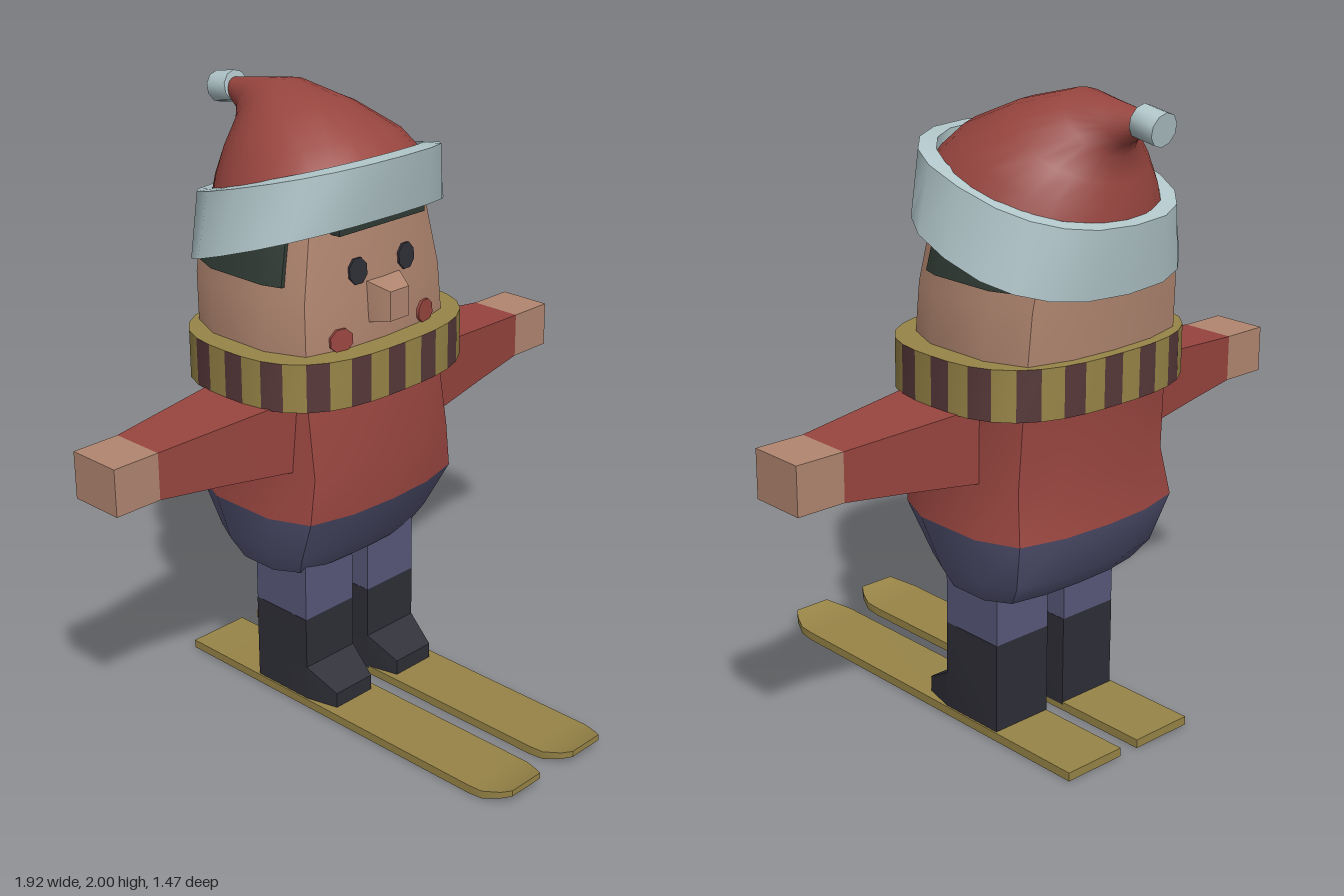
import * as THREE from 'three';
import { toCreasedNormals } from 'three/addons/utils/BufferGeometryUtils.js';

const mat = (name, color) => {
  const m = new THREE.MeshStandardMaterial({ color });
  m.name = name;
  return m;
};
const V = (x, y, z) => new THREE.Vector3(x, y, z);

// Skin rings of points together; matOf(row, segment) picks the material, caps are row -1
function loft(rings, { caps = [true, true], matOf = () => 0, crease = 0.5 } = {}) {
  const buckets = [[], []];
  const n = rings[0].length;
  const add = (m, ...pts) => pts.forEach(p => buckets[m].push(p.x, p.y, p.z));
  for (let i = 0; i < rings.length - 1; i++) {
    for (let j = 0; j < n; j++) {
      const k = (j + 1) % n, a = rings[i][j], b = rings[i][k], c = rings[i + 1][k], d = rings[i + 1][j];
      add(matOf(i, j), a, b, c, a, c, d);
    }
  }
  [rings[0], rings[rings.length - 1]].forEach((r, e) => {
    if (!caps[e]) return;
    const mid = r.reduce((s, p) => s.add(p), V(0, 0, 0)).divideScalar(n);
    for (let j = 0; j < n; j++) {
      const p = r[j], q = r[(j + 1) % n];
      if (e) add(matOf(-1, j), mid, p, q);
      else add(matOf(-1, j), mid, q, p);
    }
  });
  const g = new THREE.BufferGeometry();
  g.setAttribute('position', new THREE.Float32BufferAttribute([...buckets[0], ...buckets[1]], 3));
  g.addGroup(0, buckets[0].length / 3, 0);
  if (buckets[1].length) g.addGroup(buckets[0].length / 3, buckets[1].length / 3, 1);
  return toCreasedNormals(g, crease);
}

// Unit outlines as [x, z], running front, left, back, right
const half = [[0.45, 0.97], [0.85, 0.84], [1, 0.4], [1, -0.4], [0.85, -0.84], [0.45, -0.97]];
const mirrorX = pts => [...pts].reverse().map(([x, z]) => [-x, z]);
const bodyOutline = [[0, 1], ...half, [0, -1], ...mirrorX(half)];
const hairHalf = [[0.95, 0.62], [1.01, 0.4], [1.01, -0.4], [0.88, -0.79]];
const hairOutline = [...hairHalf, ...mirrorX(hairHalf)];
const superellipse = (count, power) => Array.from({ length: count }, (_, i) => {
  const t = i / count * Math.PI * 2, s = Math.sin(t), c = Math.cos(t);
  return [Math.sign(s) * Math.abs(s) ** (2 / power), Math.sign(c) * Math.abs(c) ** (2 / power)];
});

// Ring given its half width and its front and back points as [z, y]
const ring = (outline, hw, [zf, yf], [zb, yb]) => outline.map(([x, s]) =>
  V(x * hw, (yf + yb) / 2 + s * (yf - yb) / 2, (zf + zb) / 2 + s * (zf - zb) / 2));
// Level rings from rows [y, half width, z front, z back]
const level = (outline, rows) => rows.map(([y, hw, zf, zb]) => ring(outline, hw, [zf, y], [zb, y]));
// Rectangular sections along z from rows [z, half width, bottom, top]
const alongZ = (cx, rows) => loft(rows.map(([z, hw, y0, y1]) =>
  [V(cx + hw, y0, z), V(cx + hw, y1, z), V(cx - hw, y1, z), V(cx - hw, y0, z)]));
// Rectangular sections along x from rows [x, bottom, top, z front, z back]
const alongX = (side, rows) => loft(rows.map(([x, y0, y1, zf, zb]) => {
  const r = [V(x * side, y1, zf), V(x * side, y0, zf), V(x * side, y0, zb), V(x * side, y1, zb)];
  return side < 0 ? r.reverse() : r;
}));

export function createModel() {
  const model = new THREE.Group();
  model.name = 'skier';
  const red = mat('red wool', 0x98453f), skin = mat('skin', 0xb18670), white = mat('pale trim', 0xb2c7cb);
  const navy = mat('trouser blue', 0x58587a), dark = mat('dark boot', 0x2e2e37), olive = mat('ski olive', 0x978447);
  const brown = mat('scarf brown', 0x573839), hair = mat('hair green', 0x2f3a33);
  const part = (name, geometry, material) => {
    const m = new THREE.Mesh(geometry, material);
    m.name = name;
    model.add(m);
    return m;
  };

  // Body
  part('trousers', loft(level(bodyOutline, [
    [0.49, 0.3, -0.1, -0.44], [0.56, 0.335, -0.05, -0.5], [0.72, 0.375, 0.04, -0.56],
  ]), { caps: [true, false], matOf: i => (i < 0 ? 1 : 0) }), [navy, red]);
  part('sweater', loft(level(bodyOutline, [
    [0.72, 0.375, 0.04, -0.56], [0.87, 0.353, 0.04, -0.53], [1.13, 0.345, 0, -0.54],
  ])), red);

  // Head, hair and face
  part('head', loft(level(bodyOutline, [
    [1.1, 0.35, 0, -0.56], [1.26, 0.353, 0.01, -0.565], [1.42, 0.345, 0, -0.575],
    [1.64, 0.295, -0.02, -0.58], [1.74, 0.2, -0.1, -0.5],
  ])), skin);
  part('hair', loft(level(hairOutline, [
    [1.47, 0.34, -0.005, -0.575], [1.64, 0.3, -0.02, -0.575], [1.7, 0.25, -0.05, -0.55],
  ])), hair);
  part('fringe', new THREE.BoxGeometry(0.37, 0.1, 0.06).translate(0, 1.67, -0.035), hair);
  part('nose', alongZ(0, [[-0.03, 0.07, 1.325, 1.455], [0, 0.07, 1.325, 1.455], [0.065, 0.04, 1.335, 1.43]]), skin);
  const octagon = (w, h) => new THREE.CylinderGeometry(1, 1, 0.009, 8)
    .rotateY(Math.PI / 8).rotateX(Math.PI / 2).scale(w * 1.08, h * 1.08, 1);
  for (const side of [1, -1]) {
    const eye = part('eye', octagon(0.035, 0.04), dark);
    eye.position.set(side * 0.105, 1.495, -0.01);
    eye.rotation.set(-0.08, side * 0.055, 0);
    const cheek = part('cheek', octagon(0.04, 0.036), red);
    cheek.position.set(side * 0.185, 1.296, -0.002);
    cheek.rotation.set(-0.06, side * 0.2, 0);
  }

  // Striped scarf with evenly spaced stripes
  const stripes = 36;
  const path = new THREE.CatmullRomCurve3(superellipse(48, 2.8).map(([x, z]) => V(x * 0.43, 0, z * 0.345)), true);
  const outline = path.getSpacedPoints(stripes).slice(0, stripes).map(p => [p.x / 0.43, p.z / 0.345]);
  const [low, high, inHigh, inLow] = level(outline, [
    [1.11, 0.43, 0.09, -0.6], [1.265, 0.43, 0.09, -0.6], [1.265, 0.32, -0.02, -0.53], [1.11, 0.32, -0.02, -0.53],
  ]);
  part('scarf', loft([low, high, inHigh, inLow, low], {
    caps: [false, false], matOf: (i, j) => (i === 0 && j % 2 ? 1 : 0),
  }), [olive, brown]);

  // Hat: tilted fur brim, bent crown and bobble
  const brimOutline = superellipse(20, 2.5);
  const brimLow = ring(brimOutline, 0.4, [0.05, 1.66], [-0.615, 1.44]);
  part('hatBrim', loft([
    brimLow,
    ring(brimOutline, 0.345, [0.08, 1.845], [-0.64, 1.645]),
    ring(brimOutline, 0.3, [0.025, 1.845], [-0.595, 1.655]),
    ring(brimOutline, 0.355, [0.01, 1.66], [-0.59, 1.45]),
    brimLow,
  ], { caps: [false, false] }), white);
  const round = superellipse(24, 2.1);
  part('hatCrown', loft([
    ring(round, 0.33, [0.04, 1.81], [-0.605, 1.62]),
    ring(round, 0.29, [-0.05, 1.885], [-0.6, 1.69]),
    ring(round, 0.215, [-0.22, 1.955], [-0.59, 1.76]),
    ring(round, 0.12, [-0.4, 2], [-0.58, 1.83]),
    ring(round, 0.065, [-0.52, 1.985], [-0.605, 1.865]),
    ring(round, 0.035, [-0.65, 1.965], [-0.645, 1.89]),
  ], { crease: 0.9 }), red);
  const bobble = part('hatBobble', toCreasedNormals(new THREE.CylinderGeometry(0.05, 0.05, 0.085, 10), 0.8), white);
  bobble.position.set(0, 1.93, -0.688);
  bobble.rotation.x = Math.PI / 2 - 0.18;

  for (const side of [1, -1]) {
    // Arms
    part('sleeve', alongX(side, [
      [0.3, 0.88, 1.125, -0.07, -0.375], [0.36, 0.887, 1.118, -0.08, -0.368],
      [0.6, 0.915, 1.1, -0.11, -0.342], [0.8, 0.935, 1.085, -0.135, -0.32],
    ]), red);
    part('hand', alongX(side, [[0.8, 0.935, 1.085, -0.135, -0.32], [0.96, 0.935, 1.085, -0.135, -0.32]]), skin);

    // Legs, boots and skis
    const x = side * 0.1425;
    part('leg', alongZ(x, [[-0.34, 0.1065, 0.32, 0.53], [-0.11, 0.1065, 0.32, 0.53]]), navy);
    part('boot', alongZ(x, [
      [-0.34, 0.1075, 0.02, 0.32], [-0.11, 0.1075, 0.02, 0.32],
      [-0.11, 0.1075, 0.02, 0.145], [0, 0.08, 0.02, 0.08],
    ]), dark);
    part('ski', alongZ(side * 0.146, [
      [-0.665, 0.11, 0, 0.028], [0.6, 0.11, 0, 0.028], [0.65, 0.108, 0.004, 0.03],
      [0.705, 0.085, 0.018, 0.04], [0.735, 0.065, 0.03, 0.05],
    ]), olive);
  }
  return model;
}
